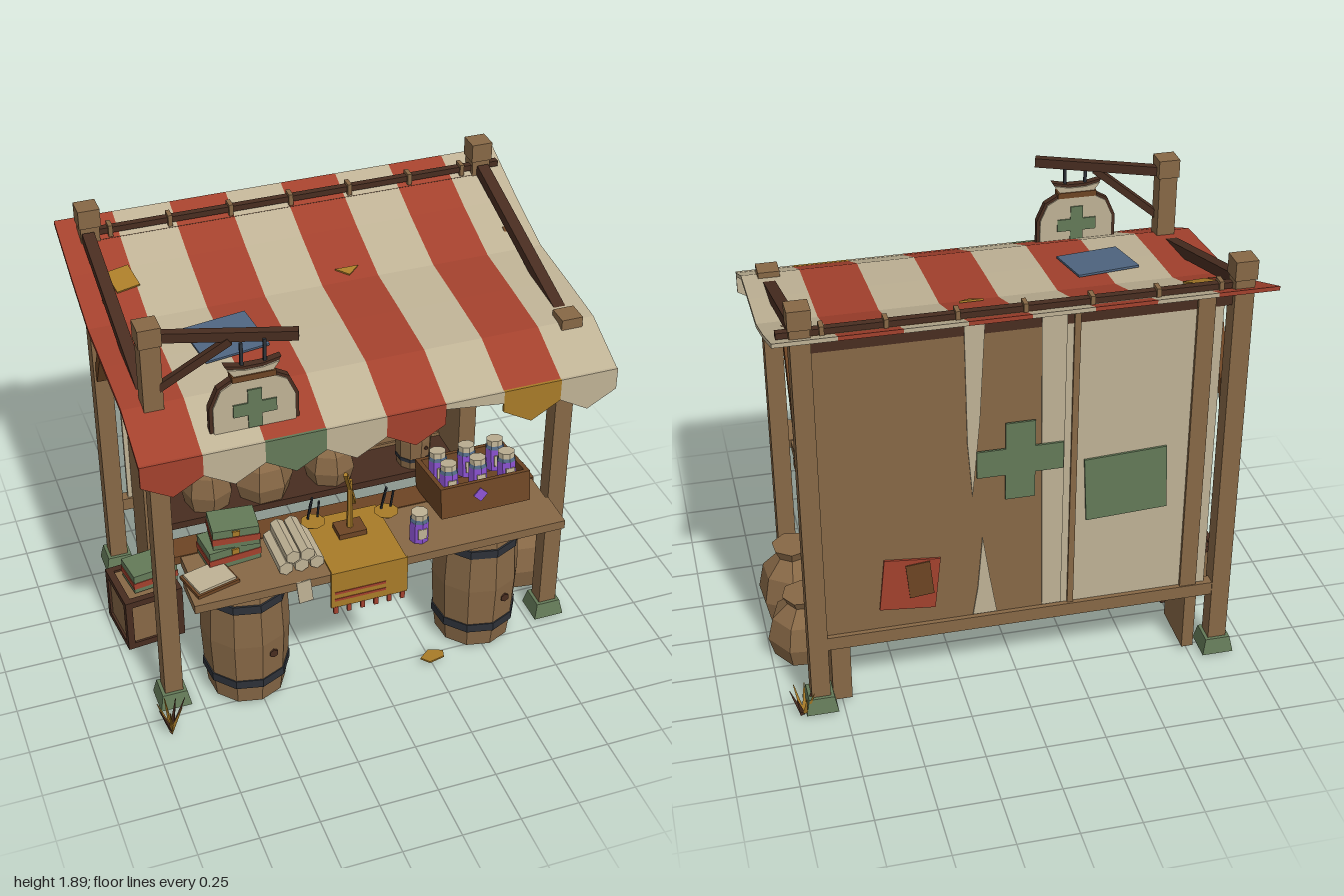
import * as THREE from 'three';

const mat = (name, color) => Object.assign(new THREE.MeshStandardMaterial({ color }), { name });
const M = {
  red: mat('red cloth', 0xa3412d), cream: mat('cream cloth', 0xbfb295), wood: mat('wood', 0x876846),
  dark: mat('dark wood', 0x482d20), brown: mat('brown wood', 0x6d4524), green: mat('green', 0x647a58),
  gold: mat('gold', 0xa87b28), purple: mat('purple glass', 0x8850cc), blue: mat('blue', 0x4f6580),
  iron: mat('iron', 0x2d3138),
};

export function createModel() {
  const root = new THREE.Group();
  let target = root;
  const V = (x, y, z) => new THREE.Vector3(x, y, z);

  // ---- helpers: every mesh gets faceted normals ----
  function add(name, geo, m, x = 0, y = 0, z = 0, rx = 0, ry = 0, rz = 0) {
    const g = geo.index ? geo.toNonIndexed() : geo;
    g.computeVertexNormals();
    const mesh = new THREE.Mesh(g, m);
    mesh.name = name;
    mesh.position.set(x, y, z);
    mesh.rotation.set(rx, ry, rz);
    target.add(mesh);
    return mesh;
  }
  const box = (name, m, w, h, d, x, y, z, rx, ry, rz) => add(name, new THREE.BoxGeometry(w, h, d), m, x, y, z, rx, ry, rz);
  const cyl = (name, m, r1, r2, h, n, x, y, z, rx, ry, rz) => add(name, new THREE.CylinderGeometry(r1, r2, h, n), m, x, y, z, rx, ry, rz);
  const lathe = (name, m, pts, n, x, y, z, ry = 0) =>
    add(name, new THREE.LatheGeometry(pts.map(p => new THREE.Vector2(...p)), n), m, x, y, z, 0, ry, 0);
  const plate = (name, m, pts, depth, x, y, z, rx, ry, rz) =>
    add(name, new THREE.ExtrudeGeometry(new THREE.Shape(pts.map(p => new THREE.Vector2(...p))), { depth, bevelEnabled: false }), m, x, y, z, rx, ry, rz);
  function beam(name, m, a, b, w, h = w) {
    const mesh = box(name, m, w, h, a.distanceTo(b), 0, 0, 0);
    mesh.position.copy(a).lerp(b, 0.5);
    mesh.lookAt(b);
    return mesh;
  }
  function group(name, x, y, z, fn, ry = 0, rx = 0) {
    const parent = target, g = new THREE.Group();
    g.name = name;
    g.position.set(x, y, z);
    g.rotation.set(rx, ry, 0);
    parent.add(g);
    target = g;
    fn();
    target = parent;
  }
  const cross = (name, s, t, d, x, y, z) => {
    const a = s / 2, b = t / 2;
    plate(name, M.green, [[-b, -a], [b, -a], [b, -b], [a, -b], [a, b], [b, b], [b, a], [-b, a], [-b, b], [-a, b], [-a, -b], [-b, -b]], d, x, y, z);
  };

  // ---- frame: posts, feet, beams, braces ----
  for (const [x, z, top] of [[-0.865, 0.4, 1.88], [0.845, 0.4, 1.56], [-0.865, -0.54, 1.87], [0.845, -0.54, 1.87]]) {
    box('post', M.wood, 0.078, top, 0.078, x, top / 2, z);
    box('postCap', M.wood, 0.09, 0.08, 0.09, x, top - 0.04, z);
    cyl('stoneFoot', M.green, 0.075, 0.095, 0.07, 4, x, 0.04, z, 0, Math.PI / 4, 0);
  }
  for (const x of [-0.875, 0.85]) {
    beam('rafter', M.dark, V(x, 1.5, 0.37), V(x, 1.75, -0.5), 0.05, 0.045);
    beam('brace', M.brown, V(x, 1.06, -0.51), V(x, 1.61, -0.2), 0.04, 0.045);
  }
  box('frontBeam', M.dark, 1.75, 0.06, 0.05, -0.01, 1.48, 0.4);
  box('backBeam', M.dark, 1.72, 0.05, 0.05, -0.01, 1.7, -0.53);
  box('canopyRod', M.dark, 1.8, 0.025, 0.03, 0.03, 1.755, -0.53);
  for (const x of [-0.78, -0.53, -0.27, -0.01, 0.25, 0.52, 0.76]) box('peg', M.wood, 0.018, 0.05, 0.05, x, 1.755, -0.53);

  // ---- striped canopy with a pointed valance ----
  const path = [[-0.63, 1.775], [-0.36, 1.665], [-0.1, 1.575], [0.15, 1.555], [0.41, 1.53], [0.646, 1.425]];
  const section = [...path, ...path.slice().reverse().map(([z, y]) => [z, y - 0.018])];
  const W = 1.94 / 8;
  const valance = ['red', 'cream', 'green', 'cream', 'red', 'cream', 'gold', 'cream'];
  for (let i = 0; i < 8; i++) {
    const x0 = -0.985 + i * W;
    plate('canopyStripe', i % 2 ? M.cream : M.red, section, W, x0 + W, 0, 0, 0, -Math.PI / 2, 0);
    const flap = i === 5 ? [[0, 1.405], [W, 1.375]] : [[0, 1.335], [W / 2, 1.265], [W, 1.335]];
    plate('valanceFlap', M[valance[i]], [...flap, [W, 1.43], [0, 1.43]], 0.012, x0, 0, 0.638);
  }
  box('bluePatch', M.blue, 0.27, 0.009, 0.23, -0.49, 1.568, 0.12, 0.09, 0.14, 0);
  box('goldPatch', M.gold, 0.1, 0.009, 0.11, -0.79, 1.65, -0.3, 0.36, 0.2, 0);
  plate('goldScrap', M.gold, [[-0.05, 0.02], [0.05, 0.02], [0, -0.02]], 0.008, 0.11, 1.592, -0.14, -1.23, 0, 0);

  // ---- back wall: cloth panels, cross and patches ----
  box('wallBrown', M.wood, 0.9, 1.39, 0.02, 0.355, 1.045, -0.545);
  box('wallCream', M.cream, 0.7, 1.39, 0.02, -0.445, 1.045, -0.545);
  box('wallSeam', M.wood, 0.025, 1.36, 0.03, -0.21, 1.04, -0.55);
  box('wallPlank', M.wood, 0.07, 1.4, 0.03, -0.72, 1.03, -0.555);
  plate('wornStrip', M.cream, [[0.15, 1.72], [0.23, 1.72], [0.22, 1.2], [0.2, 0.95], [0.17, 1.3]], 0.006, 0, 0, -0.561);
  plate('wornStrip', M.cream, [[0.1, 0.37], [0.2, 0.37], [0.18, 0.5], [0.16, 0.75], [0.13, 0.55]], 0.006, 0, 0, -0.561);
  plate('wornStrip', M.cream, [[-0.17, 0.37], [-0.09, 0.37], [-0.07, 1.72], [-0.17, 1.72]], 0.006, 0, 0, -0.561);
  box('sillBeam', M.wood, 1.64, 0.06, 0.05, -0.01, 0.335, -0.55);
  cross('wallCross', 0.35, 0.12, 0.009, 0.01, 1.1, -0.572);
  box('redPatch', M.red, 0.23, 0.24, 0.009, 0.46, 0.57, -0.561, 0, 0, 0.1);
  box('redPatchMend', M.brown, 0.1, 0.16, 0.009, 0.42, 0.59, -0.566, 0, 0, -0.1);
  box('greenPatch', M.green, 0.34, 0.29, 0.009, -0.43, 0.92, -0.561, 0, 0, -0.05);
  box('redRag', M.red, 0.19, 0.15, 0.008, -0.21, 1.28, -0.53);

  // ---- shelving ----
  for (const x of [-0.75, 0.75]) box('shelfSide', M.wood, x < 0 ? 0.05 : 0.08, 1.27, 0.24, x, 0.645, -0.415);
  for (const y of [0.335, 0.735, 1.09]) box('shelf', M.dark, 1.44, 0.035, 0.22, -0.01, y, -0.41);

  // ---- counter on two barrels ----
  box('counterFront', M.wood, 1.6, 0.04, 0.17, 0, 0.66, 0.535);
  box('counterMiddle', M.wood, 1.56, 0.045, 0.14, 0.01, 0.655, 0.378);
  box('counterBack', M.brown, 1.6, 0.04, 0.115, 0, 0.66, 0.248);
  const barrel = (x, y, z, s) => group('barrel', x, y, z, () => {
    lathe('staves', M.wood, [[0, 0], [0.165, 0], [0.178, 0.12], [0.188, 0.32], [0.178, 0.52], [0.165, 0.63], [0, 0.63]].map(p => p.map(v => v * s)), 10, 0, 0, 0);
    for (const h of [0.11, 0.52]) cyl('hoop', M.iron, 0.184 * s, 0.184 * s, 0.04 * s, 10, 0, h * s, 0);
    cyl('knot', M.dark, 0.02 * s, 0.02 * s, 0.01, 6, 0.055 * s, 0.25 * s, 0.172 * s, Math.PI / 2, 0, 0);
  }, 0.1);
  barrel(-0.53, 0.01, 0.38, 1);
  barrel(0.51, 0.01, 0.38, 1);
  barrel(0.52, 0.355, -0.38, 0.45);

  // ---- sacks ----
  const sack = (x, y, z, r, h, ry) => lathe('sack', M.wood,
    [[0, 0], [0.85 * r, 0], [r, 0.3 * h], [0.85 * r, 0.65 * h], [0.42 * r, 0.86 * h], [0.56 * r, h], [0, h]], 7, x, y, z, ry);
  sack(0.85, 0.01, 0.13, 0.16, 0.34, 0.3);
  sack(0.85, 0.01, -0.16, 0.16, 0.29, 0.8);
  sack(-0.46, 0.355, -0.41, 0.12, 0.28, 0);
  sack(-0.2, 0.355, -0.41, 0.14, 0.26, 0.5);
  sack(0.12, 0.355, -0.41, 0.12, 0.24, 0.9);

  // ---- supply tins, jars and bottles ----
  const tin = (x, y, z, ry = 0, w = 0.19) => group('tin', x, y, z, () => {
    box('tinBody', M.green, w, 0.09, 0.14, 0, 0.045, 0);
    box('tinBand', M.red, w + 0.006, 0.03, 0.146, 0, 0.038, 0);
    box('tinLatch', M.gold, 0.03, 0.025, 0.155, 0, 0.072, 0);
  }, ry);
  tin(-0.58, 0.68, 0.36, 0.1, 0.22);
  tin(-0.56, 0.77, 0.36, -0.1);
  tin(-0.13, 0.755, -0.4, 0, 0.22);
  tin(0.1, 0.755, -0.4, 0.05, 0.2);
  tin(-0.1, 0.85, -0.4, -0.05, 0.22);
  const jar = (m, x, y, z, s = 1) => group('jar', x, y, z, () => {
    cyl('jarBody', m, 0.038 * s, 0.038 * s, 0.09 * s, 8, 0, 0.045 * s, 0);
    cyl('jarNeck', M.blue, 0.03 * s, 0.038 * s, 0.015 * s, 8, 0, 0.097 * s, 0);
    cyl('jarLid', M.cream, 0.033 * s, 0.033 * s, 0.022 * s, 8, 0, 0.115 * s, 0);
    box('jarLabel', M.cream, 0.035 * s, 0.045 * s, 0.006, 0, 0.045 * s, 0.036 * s);
  });
  [['gold', -0.63], ['green', -0.47], ['red', -0.31], ['gold', -0.095], ['blue', 0.12]].forEach(([c, x]) => jar(M[c], x, 1.107, -0.38));
  jar(M.purple, 0.185, 0.68, 0.52, 1.1);
  ['green', 'brown', 'blue', 'green', 'blue'].forEach((c, i) => lathe('bottle', M[c],
    [[0, 0], [0.032, 0], [0.032, 0.1], [0.012, 0.14], [0.012, 0.19], [0, 0.19]], 7, 0.32 + i * 0.085, 0.752, -0.4));
  group('shelfBox', 0.47, 1.107, -0.4, () => {
    for (const x of [-0.155, 0.155]) box('boxSide', M.dark, 0.02, 0.125, 0.16, x, 0.062, 0);
    box('boxLid', M.dark, 0.33, 0.015, 0.16, 0, 0.125, 0);
    box('boxBundle', M.green, 0.12, 0.06, 0.1, 0, 0.03, 0);
  });

  // ---- open crate of potion jars ----
  group('potionCrate', 0.5, 0.7, 0.34, () => {
    box('crateFloor', M.brown, 0.39, 0.02, 0.27, 0, 0, 0);
    for (const s of [-1, 1]) {
      box('crateLong', M.brown, 0.4, 0.14, 0.02, 0, 0.065, s * 0.135);
      box('crateEnd', M.brown, 0.02, 0.14, 0.27, s * 0.19, 0.065, 0);
      for (const x of [-0.13, 0, 0.13]) jar(M.purple, x, 0.065, s * 0.06, 1.1);
    }
    box('crateDiamond', M.purple, 0.045, 0.045, 0.008, -0.025, 0.075, 0.146, 0, 0, Math.PI / 4);
  }, 0, -0.15);

  // ---- cloth runner with tassels ----
  box('runnerTop', M.gold, 0.32, 0.008, 0.36, -0.07, 0.684, 0.445);
  box('runnerDrop', M.gold, 0.33, 0.18, 0.009, -0.07, 0.6, 0.626);
  box('runnerStripe', M.red, 0.22, 0.012, 0.006, -0.11, 0.585, 0.63);
  box('runnerStripe', M.red, 0.22, 0.012, 0.006, -0.11, 0.55, 0.63);
  for (let i = 0; i < 6; i++) box('tassel', M.red, 0.018, 0.035, 0.012, -0.215 + i * 0.058, 0.495, 0.626);

  // ---- balance scale ----
  group('scale', -0.07, 0.688, 0.39, () => {
    box('scaleBase', M.brown, 0.12, 0.025, 0.09, 0, 0.012, 0);
    cyl('scalePole', M.gold, 0.01, 0.014, 0.25, 6, 0, 0.14, 0);
    beam('scaleArm', M.gold, V(-0.165, 0.235, 0), V(0.165, 0.205, 0), 0.016);
    for (const [x, y] of [[-0.16, 0.23], [0.16, 0.2]]) {
      for (let k = 0; k < 3; k++) {
        const a = k * 2.094 + 0.5;
        beam('chain', M.iron, V(x, y, 0), V(x + 0.045 * Math.cos(a), y - 0.14, 0.045 * Math.sin(a)), 0.008);
      }
      cyl('pan', M.gold, 0.052, 0.035, 0.015, 8, x, y - 0.145, 0);
    }
  });

  // ---- scrolls and papers ----
  for (const [x, y] of [[-0.4, 0.712], [-0.335, 0.712], [-0.27, 0.712], [-0.31, 0.763], [-0.37, 0.763]])
    cyl('scroll', M.cream, 0.032, 0.032, 0.22, 6, x, y, 0.45, Math.PI / 2, 0, 0);
  box('paperDrop', M.cream, 0.06, 0.11, 0.006, -0.345, 0.63, 0.624, 0, 0, 0.1);
  box('ledger', M.brown, 0.19, 0.015, 0.15, -0.7, 0.688, 0.49, 0, 0.25, 0);
  box('ledgerPages', M.cream, 0.17, 0.012, 0.13, -0.7, 0.7, 0.49, 0, 0.25, 0);

  // ---- hanging pouch sign ----
  beam('signArm', M.dark, V(-0.84, 1.82, 0.4), V(-0.34, 1.835, 0.58), 0.035, 0.04);
  beam('signBrace', M.dark, V(-0.85, 1.6, 0.42), V(-0.58, 1.81, 0.5), 0.03);
  group('sign', -0.515, 1.4, 0.555, () => {
    const half = [[0.13, 0], [0.175, 0.05], [0.175, 0.17], [0.14, 0.25], [0.07, 0.29], [0.11, 0.345], [0.04, 0.33]];
    const pouch = k => [...half, ...half.slice().reverse().map(([x, y]) => [-x, y])].map(([x, y]) => [x * k, 0.17 + (y - 0.17) * k]);
    plate('signRim', M.dark, pouch(1), 0.03, 0, 0, -0.015);
    plate('signFace', M.cream, pouch(0.92), 0.044, 0, 0, -0.022);
    box('signTie', M.brown, 0.17, 0.025, 0.055, 0, 0.285, 0);
    cross('signCross', 0.17, 0.055, 0.056, 0, 0.145, -0.028);
    for (const x of [-0.04, 0.05]) box('signHook', M.iron, 0.012, 0.11, 0.012, x, 0.37, 0);
  });

  // ---- lantern ----
  group('lantern', 0.555, 1.18, 0.325, () => {
    cyl('lanternCord', M.iron, 0.006, 0.006, 0.12, 5, 0, 0.24, 0);
    box('lanternGlass', M.gold, 0.085, 0.15, 0.085, 0, 0.095, 0);
    box('lanternBase', M.iron, 0.11, 0.025, 0.11, 0, 0.012, 0);
    cyl('lanternRoof', M.iron, 0.02, 0.085, 0.05, 4, 0, 0.195, 0, 0, Math.PI / 4, 0);
    for (const x of [-1, 1]) for (const z of [-1, 1]) box('lanternBar', M.iron, 0.014, 0.16, 0.014, x * 0.044, 0.095, z * 0.044);
  });

  // ---- sausages ----
  for (const [x, y] of [[-0.695, 1.22], [-0.61, 1.2], [-0.5, 1.24], [-0.45, 1.18]]) {
    add('sausage', new THREE.CapsuleGeometry(0.026, 0.11, 2, 7), M.red, x, y, 0.32, 0, 0, 0.08);
    cyl('sausageString', M.dark, 0.005, 0.005, 1.48 - y, 4, x, (1.48 + y) / 2, 0.33);
  }

  // ---- framed crate beside the stall, with a tin on top ----
  group('sideCrate', -0.85, 0.01, -0.08, () => {
    box('crateBody', M.wood, 0.24, 0.24, 0.24, 0, 0.13, 0);
    for (const a of [-1, 1]) for (const b of [-1, 1]) {
      box('crateEdge', M.dark, 0.03, 0.26, 0.03, a * 0.115, 0.13, b * 0.115);
      box('crateEdge', M.dark, 0.26, 0.03, 0.03, 0, 0.13 + a * 0.115, b * 0.115);
      box('crateEdge', M.dark, 0.03, 0.03, 0.26, a * 0.115, 0.13 + b * 0.115, 0);
    }
  }, 0.1);
  tin(-0.82, 0.27, -0.08, 0.15, 0.2);

  // ---- grass tufts and a fallen leaf ----
  for (const [x, z, h] of [[-0.92, 0.59, 0.19], [0.92, -0.58, 0.14]])
    for (let i = 0; i < 7; i++) {
      const a = i * 0.9;
      cyl('grassBlade', i % 3 ? M.gold : M.dark, 0.002, 0.011, h * (1 - 0.06 * i), 3,
        x + 0.03 * Math.cos(a), h * 0.45, z + 0.03 * Math.sin(a), 0.35 * Math.sin(a), 0, -0.35 * Math.cos(a));
    }
  plate('leaf', M.gold, [[-0.05, 0], [-0.02, -0.035], [0.05, -0.02], [0.06, 0.015], [0, 0.04]], 0.008, 0.25, 0.02, 0.55, -Math.PI / 2, 0, 0);

  return root;
}
